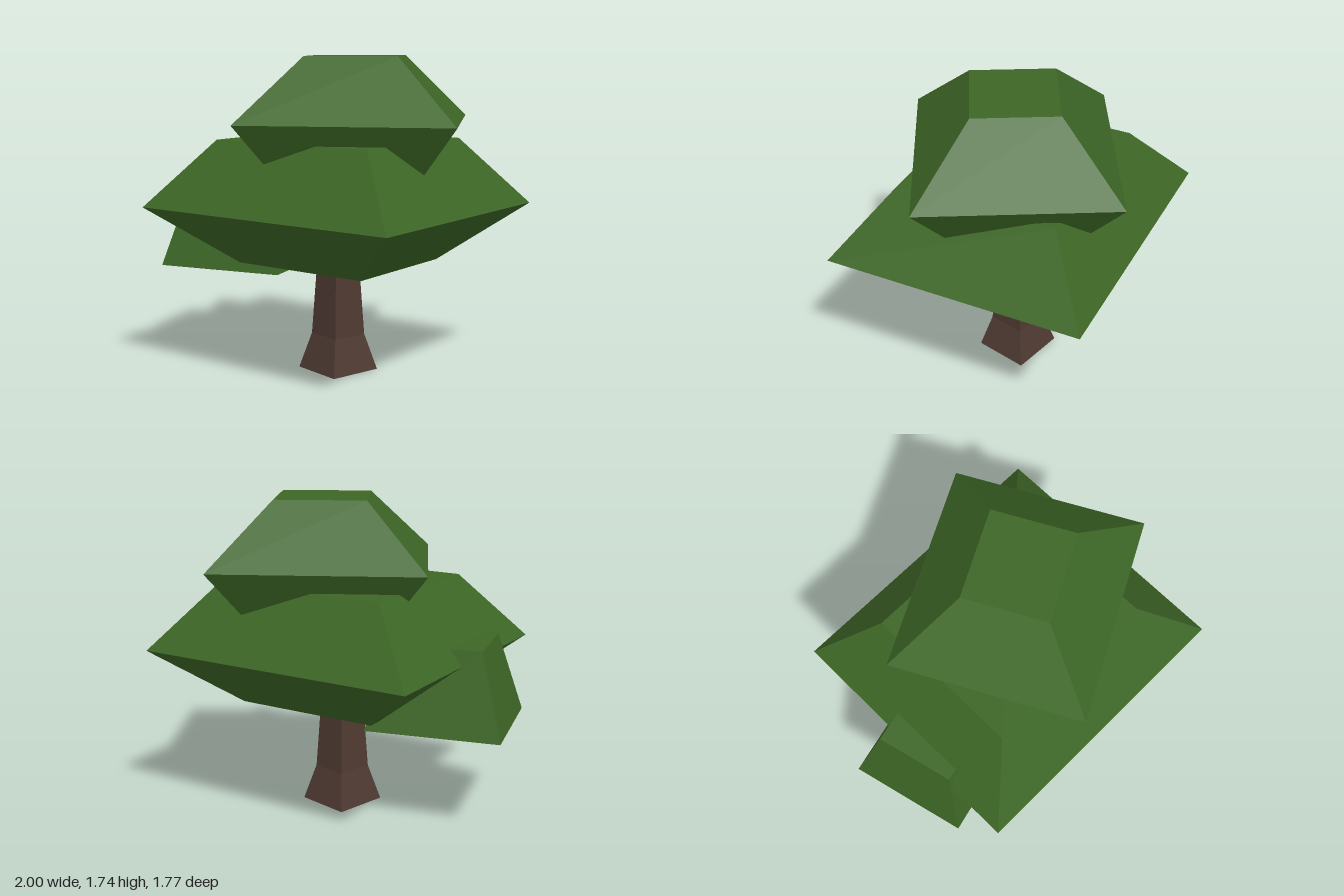
import * as THREE from 'three';

const bark = new THREE.MeshStandardMaterial({ color: 0x4f3a32 });
bark.name = 'bark brown';
const leaf = new THREE.MeshStandardMaterial({ color: 0x3d6626 });
leaf.name = 'leaf green';

// Faceted four-sided solid. Corners lie at +a, +b, -a, -b around the centre (all [x, z]);
// levels are [height, scale] pairs from bottom to top.
function facetedBlock(name, material, centre, a, b, levels) {
  const corners = [a, b, [-a[0], -a[1]], [-b[0], -b[1]]];
  const rings = levels.map(([y, s]) =>
    corners.map(([x, z]) => [centre[0] + x * s, y, centre[1] + z * s]));
  const positions = [];
  const quad = (p, q, r, s) => positions.push(...p, ...q, ...r, ...p, ...r, ...s);

  for (let k = 0; k < rings.length - 1; k++) {
    for (let i = 0; i < 4; i++) {
      const j = (i + 1) % 4;
      quad(rings[k][i], rings[k][j], rings[k + 1][j], rings[k + 1][i]);
    }
  }
  quad(...rings[rings.length - 1]);
  quad(...[...rings[0]].reverse());

  const geometry = new THREE.BufferGeometry();
  geometry.setAttribute('position', new THREE.Float32BufferAttribute(positions, 3));
  geometry.computeVertexNormals();
  const mesh = new THREE.Mesh(geometry, material);
  mesh.name = name;
  return mesh;
}

export function createModel() {
  const tree = new THREE.Group();
  tree.name = 'tree';
  tree.add(
    // Square trunk with a flared foot
    facetedBlock('trunk', bark, [0.05, 0], [-0.155, 0.155], [0.155, 0.155],
      [[0, 1], [0.2, 0.67], [0.7, 0.5]]),
    // Wide middle canopy
    facetedBlock('mainCanopy', leaf, [0.05, -0.005], [-0.6, 0.885], [0.95, 0.495],
      [[0.612, 0.51], [0.925, 1], [1.29, 0.62]]),
    // Upper canopy, sunk into the middle one
    facetedBlock('topCanopy', leaf, [0.135, -0.055], [-0.075, 0.765], [0.773, 0.005],
      [[1.0, 0.53], [1.395, 1], [1.74, 0.433]]),
    // Small low clump on one side
    facetedBlock('sideClump', leaf, [-0.525, 0.225], [-0.165, 0.46], [0.475, 0.12],
      [[0.56, 1], [1.01, 0.65]]),
  );
  return tree;
}
